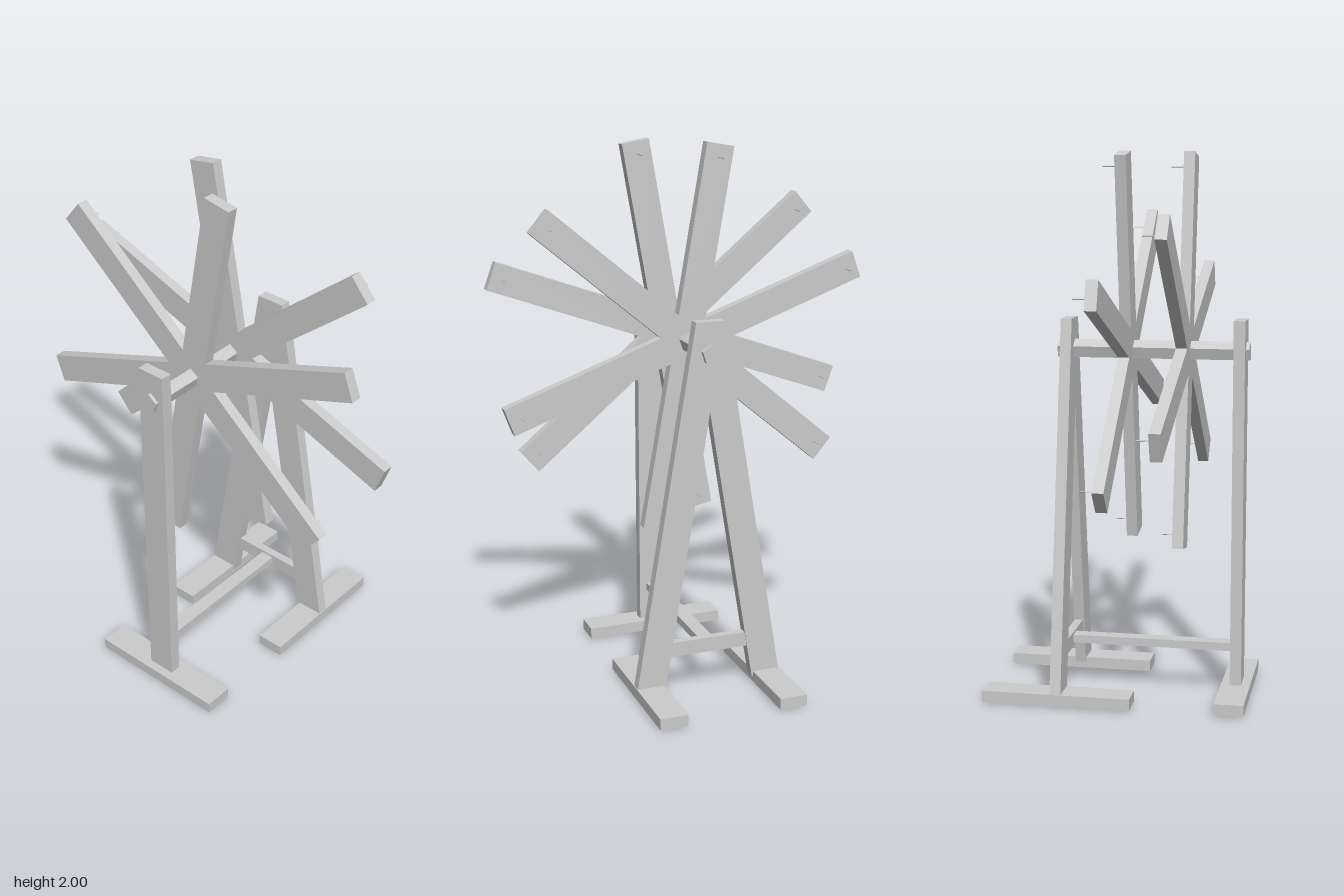
import * as THREE from 'three';

const material = new THREE.MeshStandardMaterial({ color: 0xcccccc, flatShading: true });
const HUB_Y = 1.285;

function add(parent, name, geometry, x = 0, y = 0, z = 0) {
  const mesh = new THREE.Mesh(geometry, material);
  mesh.name = name;
  mesh.position.set(x, y, z);
  parent.add(mesh);
  return mesh;
}

// Box given by its limits on each axis
function plank(parent, name, [x0, x1], [y0, y1], [z0, z1]) {
  return add(parent, name, new THREE.BoxGeometry(x1 - x0, y1 - y0, z1 - z0),
    (x0 + x1) / 2, (y0 + y1) / 2, (z0 + z1) / 2);
}

function extrude(points, depth) {
  const shape = new THREE.Shape(points.map(([x, y]) => new THREE.Vector2(x, y)));
  return new THREE.ExtrudeGeometry(shape, { depth, bevelEnabled: false });
}

// Six flat blades joined at the hub, each with a thin pin on its rear face
function bladeWheel(name, startDegrees, zBack) {
  const wheel = new THREE.Group();
  wheel.name = name;
  wheel.position.set(0, HUB_Y, zBack);
  const length = 0.717, half = 0.0525;
  const outline = [];
  for (let i = 0; i < 6; i++) {
    const a = THREE.MathUtils.degToRad(startDegrees + i * 60);
    const c = Math.cos(a), s = Math.sin(a);
    const at = (along, across) => [along * c - across * s, along * s + across * c];
    // two tip corners, then the notch shared with the next blade
    outline.push(at(length, -half), at(length, half), at(half * Math.sqrt(3), half));
    const [px, py] = at(0.67, 0);
    add(wheel, 'bladePin', new THREE.CylinderGeometry(0.002, 0.002, 0.054, 6), px, py, -0.025)
      .rotation.x = Math.PI / 2;
  }
  add(wheel, 'blades', extrude(outline, 0.041));
  return wheel;
}

export function createModel() {
  const model = new THREE.Group();
  model.name = 'windmillStand';

  // Front support: single post on a cross foot
  plank(model, 'frontPost', [-0.054, 0.054], [0, 1.4], [0.404, 0.446]);
  plank(model, 'frontFoot', [-0.274, 0.274], [0.006, 0.048], [0.371, 0.479]);

  // Rear support: two leaning legs, each on a long foot
  for (const side of [-1, 1]) {
    const leg = [[0.172, 0.03], [0.283, 0.03], [0.054, 1.4], [-0.054, 1.4]]
      .map(([x, y]) => [side * x, y]);
    add(model, 'rearLeg', extrude(leg, 0.041), 0, 0, -0.229);
    const foot = [side * 0.178, side * 0.283].sort((a, b) => a - b);
    plank(model, 'rearFoot', foot, [0.006, 0.048], [-0.483, 0.066]);
  }

  // Braces low in the frame
  plank(model, 'rearCrossbar', [-0.165, 0.165], [0.155, 0.21], [-0.225, -0.194]);
  plank(model, 'floorBeam', [-0.027, 0.027], [0.17, 0.2], [-0.2, 0.41]);

  // Five-sided axle with one edge on top
  add(model, 'axle', new THREE.CylinderGeometry(0.036, 0.036, 0.706, 5), 0, HUB_Y, 0.106)
    .rotation.x = -Math.PI / 2;

  model.add(bladeWheel('frontWheel', 20, 0.203));
  model.add(bladeWheel('rearWheel', 40, -0.007));
  return model;
}
